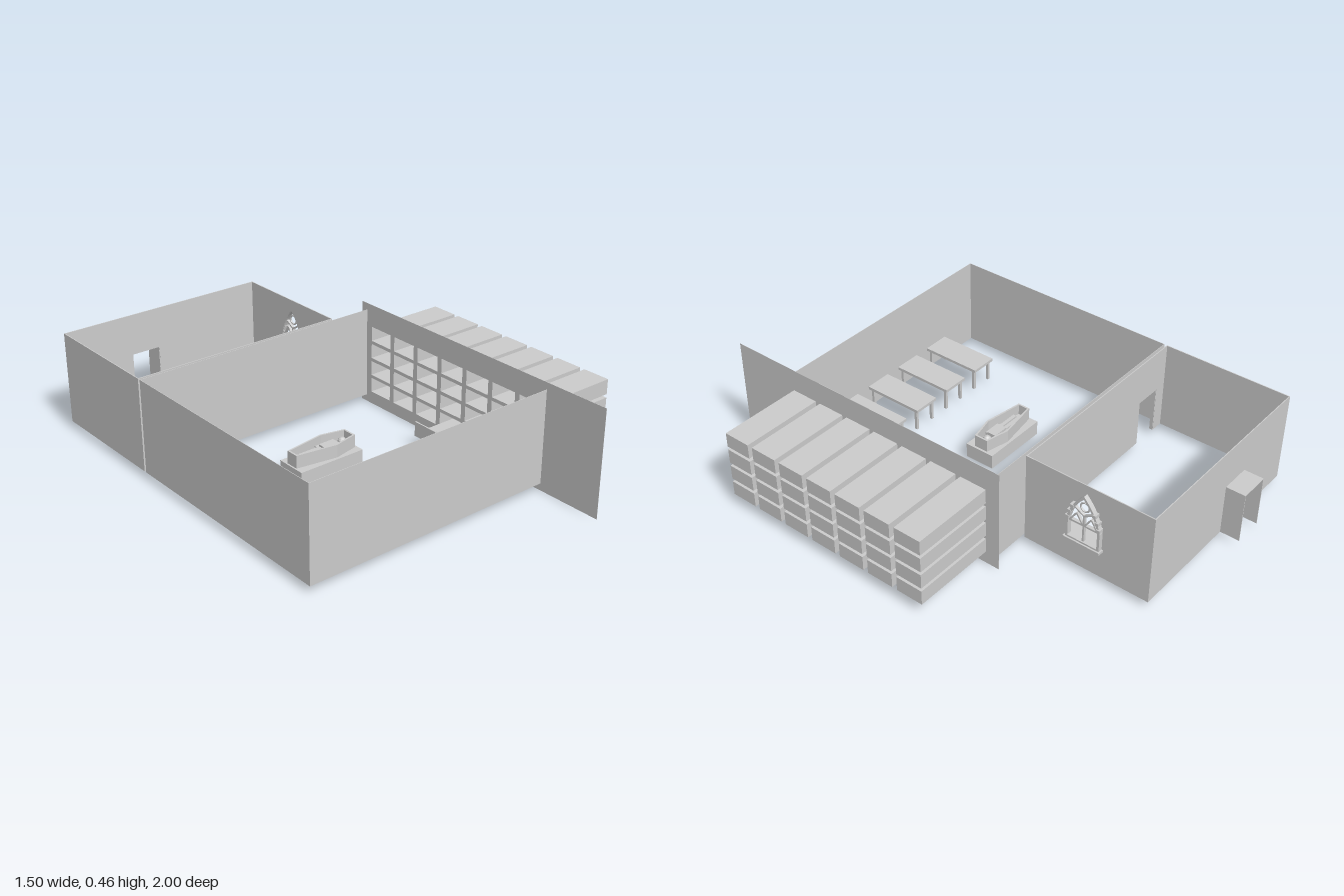
import * as THREE from 'three';

const mat = new THREE.MeshStandardMaterial({ color: 0xcccccc, side: THREE.DoubleSide, flatShading: true });
const BASE = 0.03, TOP = 0.43;

function add(parent, name, geometry) {
  const mesh = new THREE.Mesh(geometry, mat);
  mesh.name = name;
  parent.add(mesh);
  return mesh;
}

function group(parent, name) {
  const g = new THREE.Group();
  g.name = name;
  parent.add(g);
  return g;
}

// box given by its limits
function box(parent, name, x0, x1, y0, y1, z0, z1) {
  const g = new THREE.BoxGeometry(x1 - x0, y1 - y0, z1 - z0);
  g.translate((x0 + x1) / 2, (y0 + y1) / 2, (z0 + z1) / 2);
  return add(parent, name, g);
}

function rect(a0, a1, y0, y1) {
  return [[a0, y0], [a1, y0], [a1, y1], [a0, y1]].map(p => new THREE.Vector2(...p));
}

// wall panel with holes; along x by default, or along z (outline uses -z as its first axis)
function wall(parent, name, outline, holes, pos, thick, alongZ) {
  const shape = new THREE.Shape(outline);
  shape.holes = holes.map(h => new THREE.Path(h));
  const g = new THREE.ExtrudeGeometry(shape, { depth: thick, bevelEnabled: false });
  if (alongZ) g.rotateY(Math.PI / 2).translate(pos, 0, 0);
  else g.translate(0, 0, pos);
  return add(parent, name, g);
}

// pointed arch outline centred on c
function lancet(c, half, y0, spring, top) {
  const pts = [new THREE.Vector2(c - half, y0), new THREE.Vector2(c + half, y0)];
  const right = new THREE.QuadraticBezierCurve(
    new THREE.Vector2(c + half, spring), new THREE.Vector2(c + half * 0.8, (spring + top) / 2 + 0.01), new THREE.Vector2(c, top)).getPoints(8);
  pts.push(...right);
  for (let i = 7; i >= 0; i--) pts.push(new THREE.Vector2(2 * c - right[i].x, right[i].y));
  return pts;
}

// tube-free bar between two points (u = -z, v = y) in the window plane
function bar(parent, name, u0, v0, u1, v1, width, x) {
  const len = Math.hypot(u1 - u0, v1 - v0);
  const g = new THREE.BoxGeometry(0.012, width, len);
  g.rotateX(Math.atan2(v1 - v0, u1 - u0));
  g.translate(x, (v0 + v1) / 2, -(u0 + u1) / 2);
  return add(parent, name, g);
}

function mainRoom(root) {
  const room = group(root, 'mainRoom');
  const door = rect(-0.69, -0.565, BASE - 0.001, 0.24);
  wall(room, 'frontWall', rect(-0.75, 0.38, BASE, TOP), [], 0.71, 0.002);
  wall(room, 'leftWall', rect(-0.71, 0.33, BASE, TOP), [], -0.75, 0.002, true);
  wall(room, 'dividingWall', doorOutline(-0.75, 0.38, door), [], -0.33, 0.002);
  // lining of the passage to the chapel
  passage(room, 'innerPassage', -0.69, -0.565, 0.24, -0.345, -0.33);
}

// wall outline notched by a doorway that reaches the ground
function doorOutline(x0, x1, door) {
  const [a, b, c, d] = door;
  return [[x0, BASE], [a.x, BASE], [d.x, d.y], [c.x, c.y], [b.x, BASE], [x1, BASE], [x1, TOP], [x0, TOP]]
    .map(p => new THREE.Vector2(...p));
}

function passage(parent, name, x0, x1, top, z0, z1) {
  const g = group(parent, name), t = 0.003;
  box(g, 'leftJamb', x1 - t, x1, BASE, top, z0, z1);
  box(g, 'rightJamb', x0, x0 + t, BASE, top, z0, z1);
  box(g, 'lintel', x0, x1, top - t, top, z0, z1);
}

function chapel(root) {
  const room = group(root, 'chapel');
  wall(room, 'chapelFrontWall', doorOutline(-0.75, 0.198, rect(-0.69, -0.565, BASE, 0.24)), [], -0.346, 0.004);
  wall(room, 'chapelBackWall', doorOutline(-0.75, 0.198, rect(-0.44, -0.305, BASE, 0.25)), [], -0.915, 0.004);
  wall(room, 'chapelRightWall', rect(0.344, 0.913, BASE, TOP), [], -0.75, 0.004, true);
  const c = 0.622;
  wall(room, 'windowWall', rect(0.344, 0.913, BASE, TOP), [lancet(c, 0.067, 0.175, 0.25, 0.38)], 0.194, 0.004, true);
  passage(room, 'backPorch', -0.44, -0.305, 0.255, -1, -0.912);
  box(room, 'altar', 0.06, 0.195, BASE, 0.11, -0.77, -0.465);

  // arched window with stone surround and tracery
  const win = group(room, 'archedWindow');
  wall(win, 'surround', lancet(c, 0.077, 0.165, 0.25, 0.393), [lancet(c, 0.066, 0.175, 0.25, 0.378)], 0.196, 0.022, true);
  box(win, 'sill', 0.196, 0.225, 0.157, 0.168, -c - 0.083, -c + 0.083);
  bar(win, 'mullion', c, 0.17, c, 0.30, 0.008, 0.206);
  bar(win, 'transom', c - 0.067, 0.25, c + 0.067, 0.25, 0.008, 0.206);
  const ring = new THREE.TorusGeometry(0.02, 0.004, 6, 16);
  ring.rotateY(Math.PI / 2).translate(0.206, 0.335, -c);
  add(win, 'tracery', ring);
  for (const s of [-1, 1]) {
    bar(win, 'tracery', c, 0.295, c + s * 0.05, 0.325, 0.007, 0.206);
    bar(win, 'tracery', c + s * 0.062, 0.25, c + s * 0.033, 0.295, 0.007, 0.206);
    bar(win, 'tracery', c + s * 0.004, 0.25, c + s * 0.033, 0.295, 0.007, 0.206);
    // projecting stones up the arch
    for (const [u, y] of [[0.07, 0.265], [0.062, 0.295], [0.05, 0.325]]) {
      const z = -c + s * u;
      box(win, 'archStone', 0.198, 0.222, y - 0.007, y + 0.007, z - 0.008, z + 0.008);
    }
  }
}

// storage wall: a grid of open cells set behind a tall panel
function storageWall(root) {
  const store = group(root, 'storageWall'), holes = [];
  const shell = new THREE.BoxGeometry(0.368, 0.065, 0.122);
  const cell = new THREE.BufferGeometry().copy(shell);
  cell.setIndex(Array.from(shell.index.array).filter((v, i) => i < 0 || i >= 12 || i < 6)); // drop the inner face
  for (let col = 0; col < 7; col++) {
    for (let row = 0; row < 4; row++) {
      const z = 0.637 - col * 0.1455, y = 0.088 + row * 0.08;
      add(store, 'storageCell', cell).position.set(0.564, y, z);
      holes.push(rect(-z - 0.061, -z + 0.061, y - 0.0325, y + 0.0325));
    }
  }
  wall(store, 'storagePanel', rect(-1, 0.36, 0, 0.46), holes, 0.379, 0.001, true);
  // one drawer pulled into the room
  box(store, 'drawerTray', 0.245, 0.74, 0.058, 0.068, 0.142, 0.259);
  box(store, 'drawerFront', 0.24, 0.247, 0.056, 0.12, 0.14, 0.261);
}

function tables(root) {
  for (const x of [-0.493, -0.301, -0.11, 0.081]) {
    const t = group(root, 'table');
    box(t, 'tableTop', x - 0.061, x + 0.061, 0.125, 0.138, 0.425, 0.705);
    for (const lx of [-0.048, 0.048]) for (const z of [0.442, 0.688])
      box(t, 'tableLeg', x + lx - 0.006, x + lx + 0.006, BASE, 0.125, z - 0.006, z + 0.006);
  }
}

// hexagonal coffin plan scaled about its centre line
function coffinPlan(inset) {
  const half = [[-0.145 + inset, 0.028 - inset * 0.8], [0.035, 0.056 - inset], [0.143 - inset, 0.032 - inset * 0.8]];
  return [...half.map(([x, w]) => [x, -w]), ...half.reverse()].map(p => new THREE.Vector2(...p));
}

function coffin(root) {
  const g = group(root, 'bierAndCoffin');
  box(g, 'bier', -0.355, -0.05, BASE, 0.095, 0.02, 0.155);
  const lay = (name, outline, holes, y, h) => {
    const shape = new THREE.Shape(outline);
    shape.holes = holes.map(p => new THREE.Path(p));
    const geo = new THREE.ExtrudeGeometry(shape, { depth: h, bevelEnabled: false });
    geo.rotateX(-Math.PI / 2).translate(-0.203, y, 0.087);
    add(g, name, geo);
  };
  lay('coffinFloor', coffinPlan(0.003), [], 0.095, 0.008);
  lay('coffinSides', coffinPlan(0), [coffinPlan(0.008)], 0.095, 0.055);
  // lying figure, head towards +x
  const body = group(g, 'lyingFigure');
  const head = new THREE.SphereGeometry(0.018, 12, 8);
  add(body, 'head', head).position.set(-0.1, 0.122, 0.087);
  box(body, 'torso', -0.2, -0.128, 0.105, 0.132, 0.066, 0.108);
  for (const s of [-1, 1]) {
    const z = 0.087 + s * 0.011, a = 0.087 + s * 0.028;
    box(body, 'leg', -0.3, -0.2, 0.105, 0.124, z - 0.008, z + 0.008);
    box(body, 'arm', -0.21, -0.132, 0.105, 0.122, a - 0.006, a + 0.006);
  }
}

export function createModel() {
  const root = new THREE.Group();
  root.name = 'cryptBuilding';
  mainRoom(root);
  chapel(root);
  storageWall(root);
  tables(root);
  coffin(root);
  return root;
}
